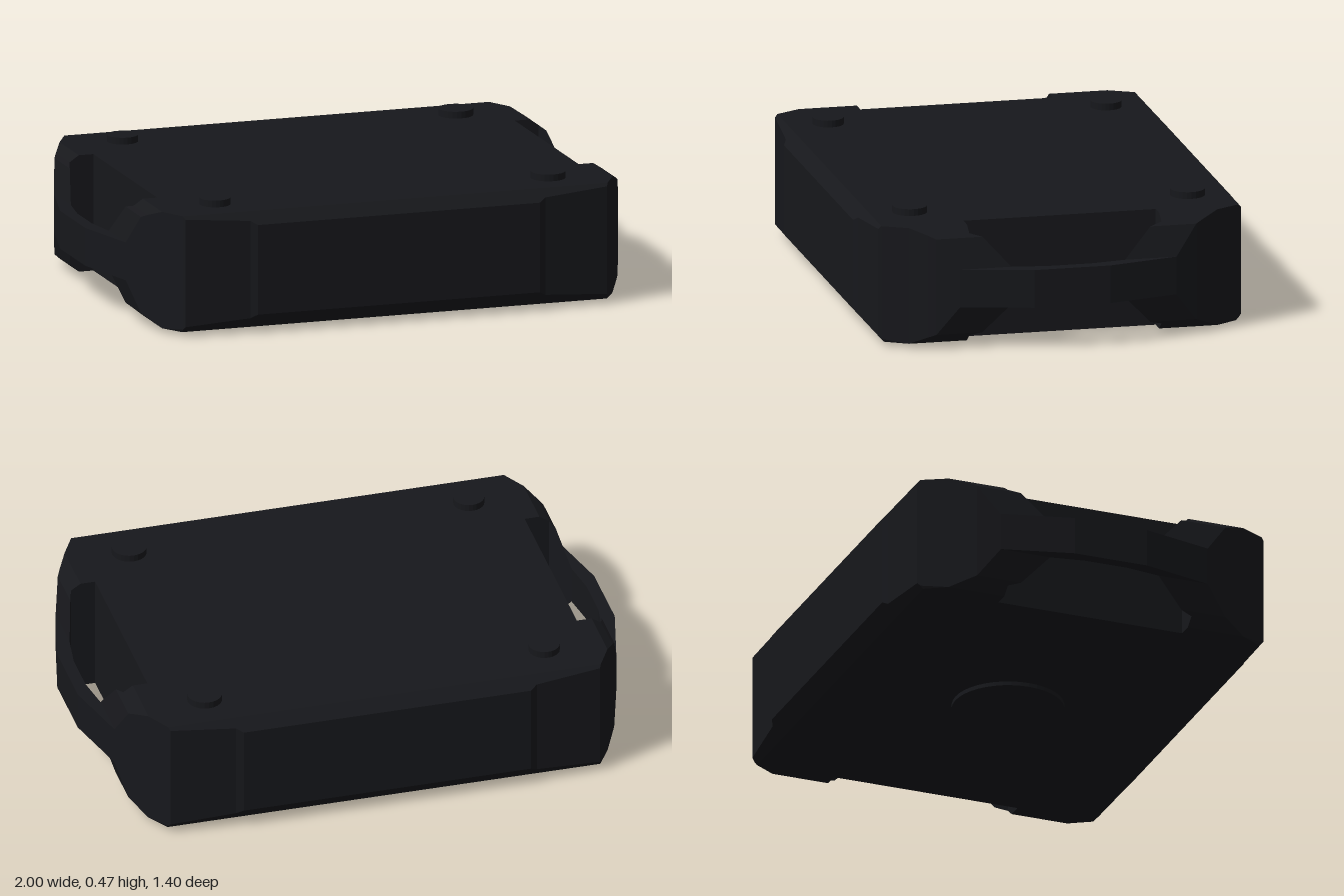
import * as THREE from 'three';

const casing = new THREE.MeshStandardMaterial({ color: 0x17181c, flatShading: true });

// Stations along x for one quarter: [x, outer z, inner z, bottom y, top y].
// The inner z opens the grip slot between casing and handle bar.
const STATIONS = [
  [0, 0.7, 0, 0.015, 0.445],
  [0.535, 0.7, 0, 0.015, 0.445],
  [0.56, 0.687, 0, 0.015, 0.445],
  [0.8, 0.67, 0, 0.015, 0.445],
  [0.8, 0.67, 0.355, 0.015, 0.445],
  [0.806, 0.66, 0.355, 0.015, 0.445],
  [0.855, 0.57, 0.355, 0.015, 0.445],
  [0.89, 0.508, 0.355, 0.043, 0.422],
  [0.905, 0.48, 0.31, 0.055, 0.41],
  [0.935, 0.4, 0.21, 0.16, 0.3],
  [0.955, 0.32, 0.08, 0.16, 0.3],
  [0.955, 0.32, 0, 0.16, 0.3],
  [1, 0.14, 0, 0.16, 0.3],
  [1, 0, 0, 0.16, 0.3],
];

// Six-point cross-section with chamfered outer edges
function section([x, zo, zi, yb, yt]) {
  const zTop = Math.min(zo, 0.66), zBottom = Math.min(zo, 0.65);
  return [
    [zi, yt], [zTop, yt],
    [zo, yt - (zo - zTop) * 1.1], [zo, yb + (zo - zBottom) * 1.1],
    [zBottom, yb], [zi, yb],
  ].map(([z, y]) => new THREE.Vector3(x, y, z));
}

// Loft the quarter and mirror it into all four corners
function casingGeometry() {
  const rings = STATIONS.map(section);
  const positions = [];
  const triangle = new THREE.Triangle();

  function addTriangle(a, b, c, sx, sz) {
    triangle.set(a, b, c);
    if (triangle.getArea() < 1e-7) return;
    const corners = sx * sz > 0 ? [a, b, c] : [a, c, b];
    for (const p of corners) positions.push(p.x * sx, p.y, p.z * sz);
  }

  for (const sx of [1, -1]) for (const sz of [1, -1]) {
    for (let i = 0; i < rings.length - 1; i++) {
      const r = rings[i], s = rings[i + 1];
      for (let j = 0; j < 6; j++) {
        const k = (j + 1) % 6;
        // No wall on the plane of symmetry
        if (j === 5 && r[0].z === 0 && s[0].z === 0) continue;
        addTriangle(r[j], r[k], s[k], sx, sz);
        addTriangle(r[j], s[k], s[j], sx, sz);
      }
    }
  }
  const geometry = new THREE.BufferGeometry();
  geometry.setAttribute('position', new THREE.Float32BufferAttribute(positions, 3));
  geometry.computeVertexNormals();
  return geometry;
}

function disc(name, radius, y0, y1, x, z, sides) {
  const mesh = new THREE.Mesh(new THREE.CylinderGeometry(radius, radius, y1 - y0, sides), casing);
  mesh.name = name;
  mesh.position.set(x, (y0 + y1) / 2, z);
  return mesh;
}

export function createModel() {
  const model = new THREE.Group();
  model.name = 'casingWithHandles';

  // Casing with both handle bars
  const body = new THREE.Mesh(casingGeometry(), casing);
  body.name = 'casing';
  model.add(body);

  // Four round studs on the top
  for (const z of [0.513, -0.513]) {
    model.add(disc('topStudLeft', 0.063, 0.43, 0.47, 0.63, z, 24));
    model.add(disc('topStudRight', 0.056, 0.43, 0.47, -0.635, z, 24));
  }

  // Round pad underneath
  model.add(disc('bottomPad', 0.203, 0, 0.03, 0, 0, 40));
  return model;
}
